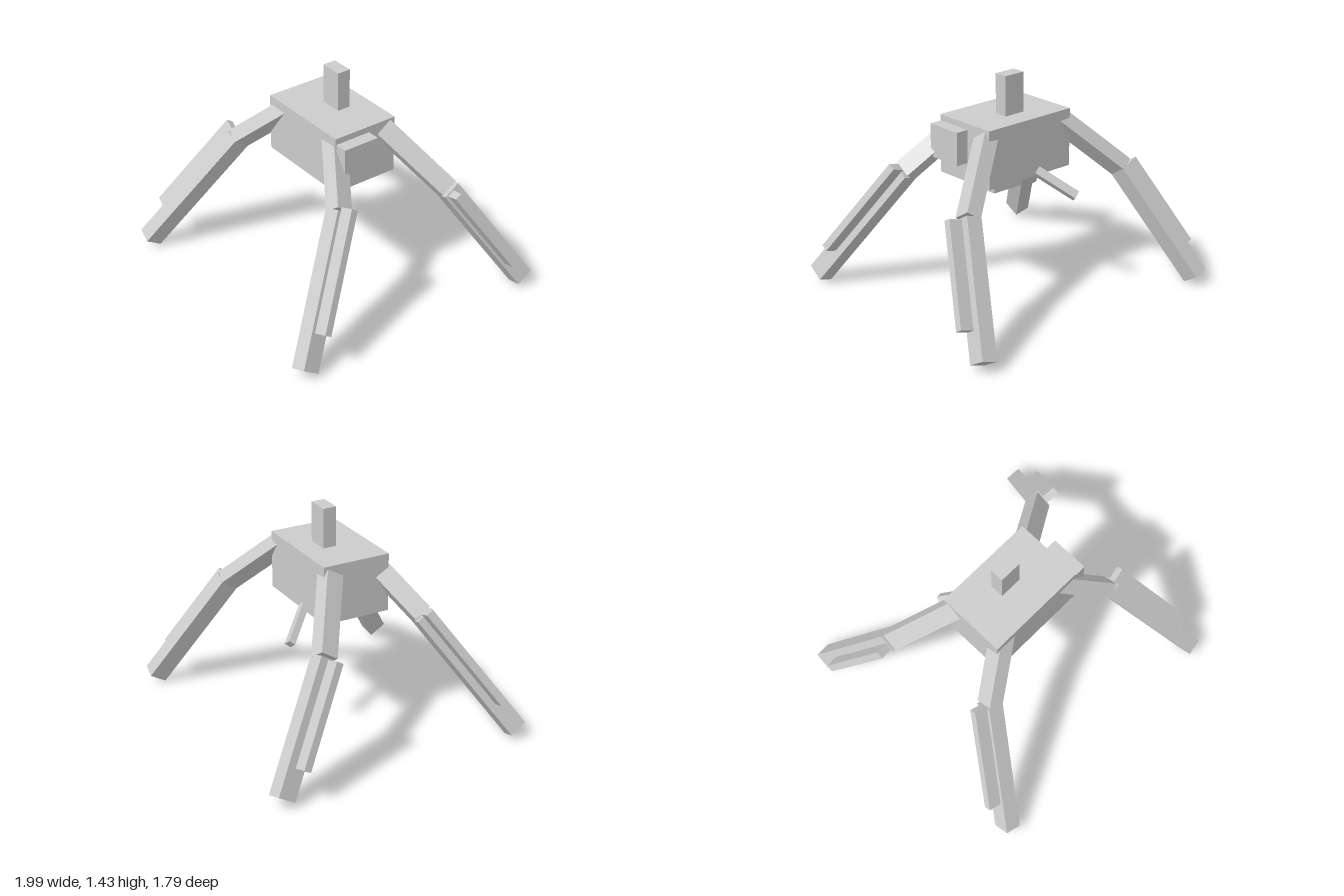
import * as THREE from 'three';

const material = new THREE.MeshStandardMaterial({ color: 0xcccccc, flatShading: true });

// Upright block given by its extents
function block(name, [x0, x1], [y0, y1], [z0, z1]) {
  const mesh = new THREE.Mesh(new THREE.BoxGeometry(x1 - x0, y1 - y0, z1 - z0), material);
  mesh.position.set((x0 + x1) / 2, (y0 + y1) / 2, (z0 + z1) / 2);
  mesh.name = name;
  return mesh;
}

// Slanted bar between two points; depth is measured along the given side axis
function bar(name, start, end, width, depth, axis) {
  const dir = end.clone().sub(start);
  const length = dir.length();
  dir.normalize();
  const side = axis.clone().addScaledVector(dir, -axis.dot(dir)).normalize();
  const across = new THREE.Vector3().crossVectors(dir, side);
  const mesh = new THREE.Mesh(new THREE.BoxGeometry(width, length, depth), material);
  mesh.quaternion.setFromRotationMatrix(new THREE.Matrix4().makeBasis(across, dir, side));
  mesh.position.copy(start).lerp(end, 0.5);
  mesh.name = name;
  return mesh;
}

// Leg: thigh, shin and a shorter slat on the shin's outer side
function leg(name, sx, sz, { hip, knee, foot, slatTop, slatEnd, slatShift }) {
  const place = ([x, y, z]) => new THREE.Vector3(x * sx, y, z * sz);
  const axis = place([0.04, -0.54, -0.84]).normalize();
  const [h, k, f] = [hip, knee, foot].map(place);
  const dir = f.clone().sub(k).normalize();
  const inner = axis.clone().addScaledVector(dir, -axis.dot(dir)).normalize();
  const outward = new THREE.Vector3().crossVectors(inner, dir);
  if (outward.x * sx < 0) outward.negate();

  // Point on the slat's centre line at a distance from the foot
  const slatPoint = (s) => f.clone().addScaledVector(dir, -s)
    .addScaledVector(outward, 0.097).addScaledVector(inner, slatShift);

  const group = new THREE.Group();
  group.name = name;
  group.add(
    bar('thigh', h, k, 0.1, 0.122, axis),
    bar('shin', k, f, 0.106, 0.122, axis),
    bar('shinSlat', slatPoint(slatTop), slatPoint(slatEnd), 0.09, 0.05, axis)
  );
  return group;
}

export function createModel() {
  const model = new THREE.Group();
  model.name = 'fourLeggedWalker';

  // Body with its attached blocks
  model.add(
    block('body', [-0.345, 0.335], [0.8, 1.18], [-0.245, 0.21]),
    block('topPost', [-0.08, 0.07], [1.17, 1.44], [-0.1, -0.01]),
    block('sideBox', [0.325, 0.42], [0.925, 1.14], [-0.045, 0.205]),
    block('bellyBox', [-0.03, 0.2], [0.715, 0.81], [-0.14, 0.115])
  );

  // Tail slanting down from the rear lower edge
  model.add(bar('tail', new THREE.Vector3(-0.07, 0.825, -0.232),
    new THREE.Vector3(-0.235, 0.667, -0.423), 0.055, 0.045, new THREE.Vector3(0.3, 0.6, -0.75)));

  // Legs
  const front = {
    hip: [0.23, 1.115, 0.14], knee: [0.527, 0.818, 0.33], foot: [0.855, 0.055, 0.83],
    slatTop: 0.99, slatEnd: 0.23, slatShift: -0.012
  };
  const frontRight = { ...front, foot: [0.892, 0.06, 0.83], knee: [0.54, 0.818, 0.335] };
  const rear = {
    hip: [0.3, 1.11, 0.175], knee: [0.655, 0.755, 0.415], foot: [0.918, 0.058, 0.845],
    slatTop: 0.85, slatEnd: 0.19, slatShift: 0.018
  };
  model.add(
    leg('frontLeftLeg', 1, 1, front),
    leg('frontRightLeg', -1, 1, frontRight),
    leg('rearLeftLeg', 1, -1, rear),
    leg('rearRightLeg', -1, -1, rear)
  );
  return model;
}
